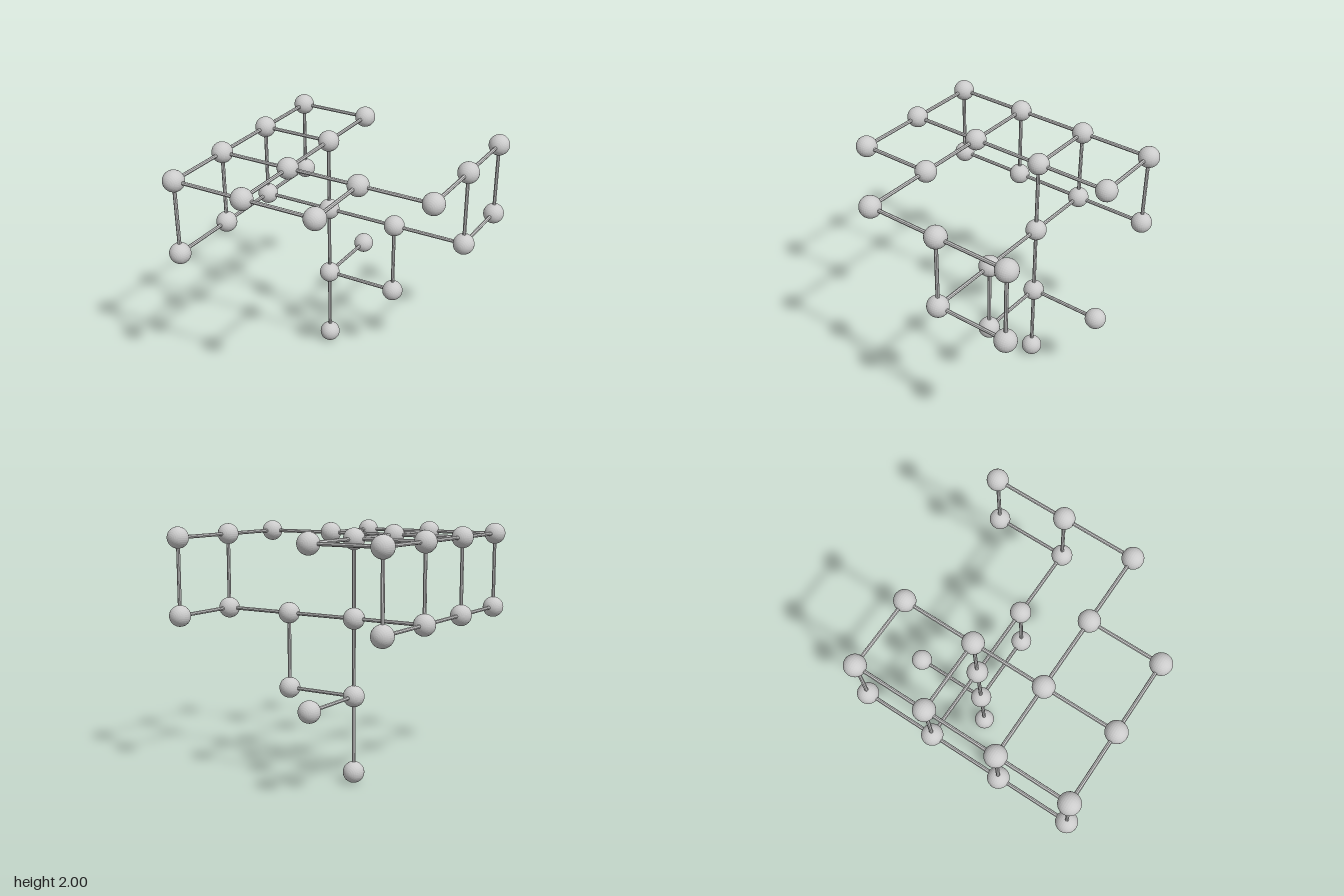
import * as THREE from 'three';

// Lattice layers from bottom to top: rows run back to front, columns run along x.
const LAYERS = [
  ['....', '.o..', '....', '....'],
  ['.o..', '.oo.', '....', '....'],
  ['o..o', 'oooo', 'o...', 'o...'],
  ['oo.o', 'oo.o', 'oooo', 'ooo.'],
];
const STEP = 0.61;
const BALL_RADIUS = 0.085;
const ROD_RADIUS = 0.015;

const hasNode = (i, j, k) => LAYERS[j]?.[k]?.[i] === 'o';
const nodePosition = (i, j, k) =>
  new THREE.Vector3((i - 1.5) * STEP, BALL_RADIUS + j * STEP, (k - 1.5) * STEP);

export function createModel() {
  const model = new THREE.Group();
  model.name = 'ballAndRodLattice';
  const balls = new THREE.Group();
  balls.name = 'balls';
  const rods = new THREE.Group();
  rods.name = 'rods';
  model.add(balls, rods);

  const material = new THREE.MeshStandardMaterial({ color: 0xcccccc, flatShading: true });

  // Balls have their poles along z
  const ballGeometry = new THREE.SphereGeometry(BALL_RADIUS, 32, 16).rotateX(Math.PI / 2);
  const rodGeometry = new THREE.CylinderGeometry(ROD_RADIUS, ROD_RADIUS, STEP, 8);
  const up = new THREE.Vector3(0, 1, 0);

  // Rod joining two neighbouring balls
  function addRod(start, end) {
    const rod = new THREE.Mesh(rodGeometry, material);
    rod.name = 'rod';
    rod.position.copy(start).lerp(end, 0.5);
    rod.quaternion.setFromUnitVectors(up, end.clone().sub(start).normalize());
    rods.add(rod);
  }

  for (let j = 0; j < 4; j++) {
    for (let k = 0; k < 4; k++) {
      for (let i = 0; i < 4; i++) {
        if (!hasNode(i, j, k)) continue;
        const position = nodePosition(i, j, k);
        const ball = new THREE.Mesh(ballGeometry, material);
        ball.name = 'ball';
        ball.position.copy(position);
        balls.add(ball);

        // Every pair of adjacent balls is linked
        for (const [a, b, c] of [[1, 0, 0], [0, 1, 0], [0, 0, 1]]) {
          if (hasNode(i + a, j + b, k + c)) addRod(position, nodePosition(i + a, j + b, k + c));
        }
      }
    }
  }
  return model;
}
